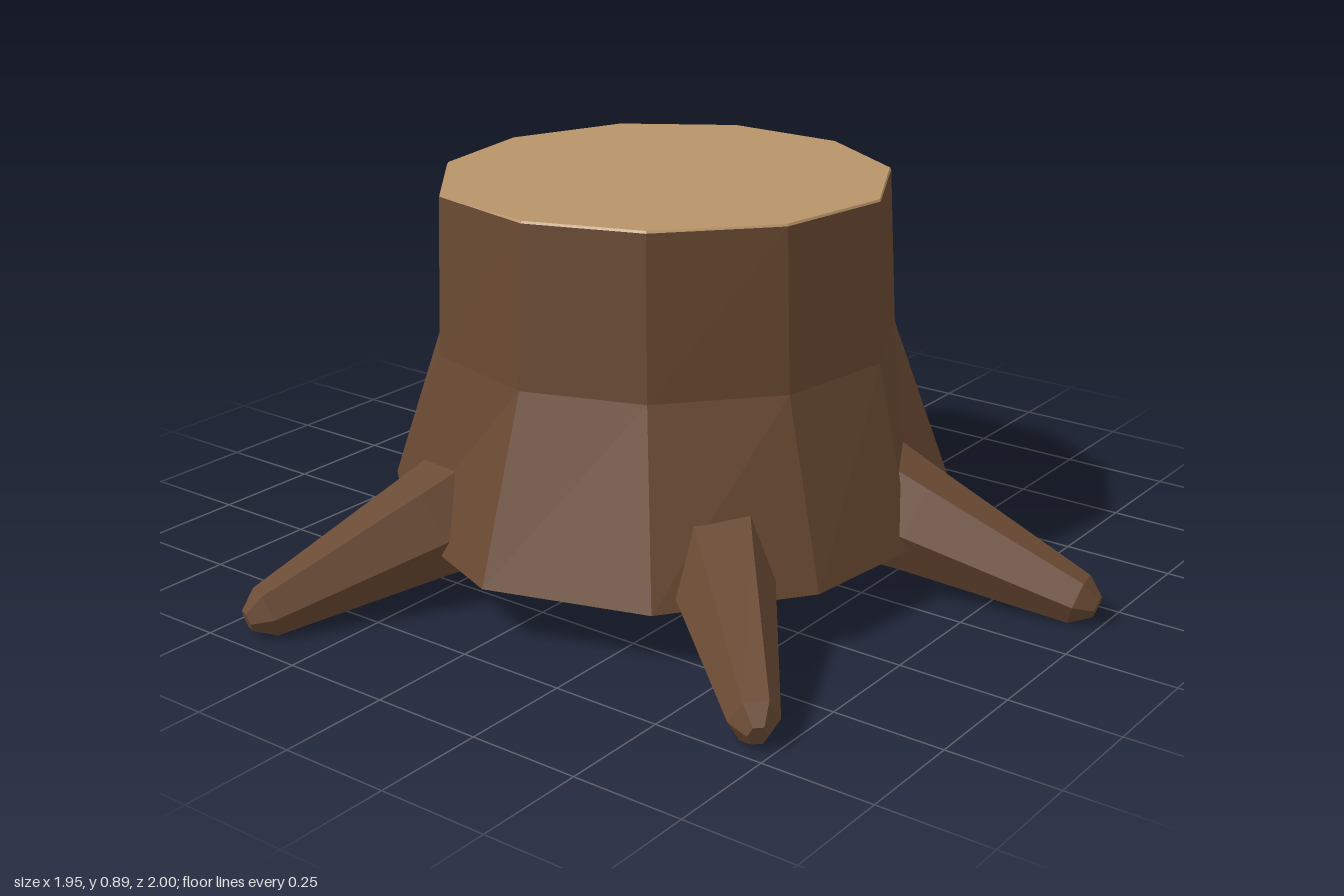
import * as THREE from 'three';

// Skin a list of rings (arrays of Vector3, clockwise about the path), optionally capping the ends
function loft(rings, capStart = true, capEnd = true) {
  const pos = [];
  const tri = (...pts) => pts.forEach((p) => pos.push(p.x, p.y, p.z));
  const centre = (ring) => ring.reduce((s, p) => s.add(p), new THREE.Vector3()).divideScalar(ring.length);
  const n = rings[0].length;
  const first = rings[0], last = rings[rings.length - 1];
  for (let i = 0; i < n; i++) {
    const j = (i + 1) % n;
    for (let r = 0; r < rings.length - 1; r++) {
      const a = rings[r], b = rings[r + 1];
      tri(a[i], b[i], a[j]);
      tri(a[j], b[i], b[j]);
    }
    if (capStart) tri(centre(first), first[i], first[j]);
    if (capEnd) tri(centre(last), last[j], last[i]);
  }
  const geo = new THREE.BufferGeometry();
  geo.setAttribute('position', new THREE.Float32BufferAttribute(pos, 3));
  geo.computeVertexNormals();
  return geo;
}

// Uneven eleven-sided outlines [x, z] of the cut top and the flared foot
const TOP = [[0.02, -0.51], [0.29, -0.4], [0.445, -0.165], [0.445, 0.12], [0.3, 0.36], [0.045, 0.49],
  [-0.235, 0.445], [-0.45, 0.25], [-0.54, 0], [-0.48, -0.28], [-0.255, -0.465]];
const FOOT = [[0.035, -0.68], [0.375, -0.51], [0.57, -0.22], [0.595, 0.175], [0.405, 0.485], [0.02, 0.61],
  [-0.29, 0.575], [-0.58, 0.36], [-0.69, 0], [-0.55, -0.35], [-0.315, -0.605]];

// Trunk outline at height y, blended t of the way from top to foot
const trunkRing = (y, t) => TOP.map(([x, z], i) =>
  new THREE.Vector3(x + (FOOT[i][0] - x) * t, y, z + (FOOT[i][1] - z) * t));

// Each root: where it leaves the trunk and where it ends, [x, z]
const ROOTS = [
  { name: 'rootLeft', base: [0.55, -0.13], tip: [0.968, -0.2] },
  { name: 'rootBack', base: [0.13, -0.6], tip: [0.205, -0.995] },
  { name: 'rootRight', base: [-0.58, -0.265], tip: [-0.965, -0.42] },
  { name: 'rootFrontRight', base: [-0.44, 0.44], tip: [-0.725, 0.725] },
  { name: 'rootFront', base: [0.1, 0.585], tip: [0.17, 0.985] },
];

// Tapered six-sided root with a blunt point, starting inside the trunk
function rootGeometry({ base, tip }) {
  const at = (t, y) => new THREE.Vector3(
    base[0] + (tip[0] - base[0]) * t, y, base[1] + (tip[1] - base[1]) * t);
  const dir = at(1, 0.04).sub(at(0, 0.165)).normalize();
  const side = new THREE.Vector3().crossVectors(dir, new THREE.Vector3(0, 1, 0)).normalize();
  const up = new THREE.Vector3().crossVectors(side, dir);
  const stations = [[-0.85, 0.265, 0.17], [0, 0.165, 0.108], [0.9, 0.053, 0.052], [1, 0.042, 0.022]];
  return loft(stations.map(([t, y, r]) => Array.from({ length: 6 }, (_, k) => {
    const a = (k * Math.PI) / 3;
    return at(t, y).addScaledVector(side, r * Math.cos(a)).addScaledVector(up, 1.13 * r * Math.sin(a));
  })));
}

export function createModel() {
  const group = new THREE.Group();
  group.name = 'treeStump';
  const bark = new THREE.MeshStandardMaterial({ color: 0x6a4a33, flatShading: true });
  const wood = new THREE.MeshStandardMaterial({ color: 0xb8946a, flatShading: true });

  const add = (name, geometry, material) => {
    const mesh = new THREE.Mesh(geometry, material);
    mesh.name = name;
    group.add(mesh);
  };

  // Trunk: nearly straight above, flaring towards the foot, closed underneath
  add('trunk', loft([trunkRing(0.13, 1), trunkRing(0.53, 0.12), trunkRing(0.885, 0)], true, false), bark);

  // Sawn face
  add('cutTop', loft([trunkRing(0.885, 0), trunkRing(0.89, -0.02)]), wood);

  // Roots
  ROOTS.forEach((root) => add(root.name, rootGeometry(root), bark));
  return group;
}
